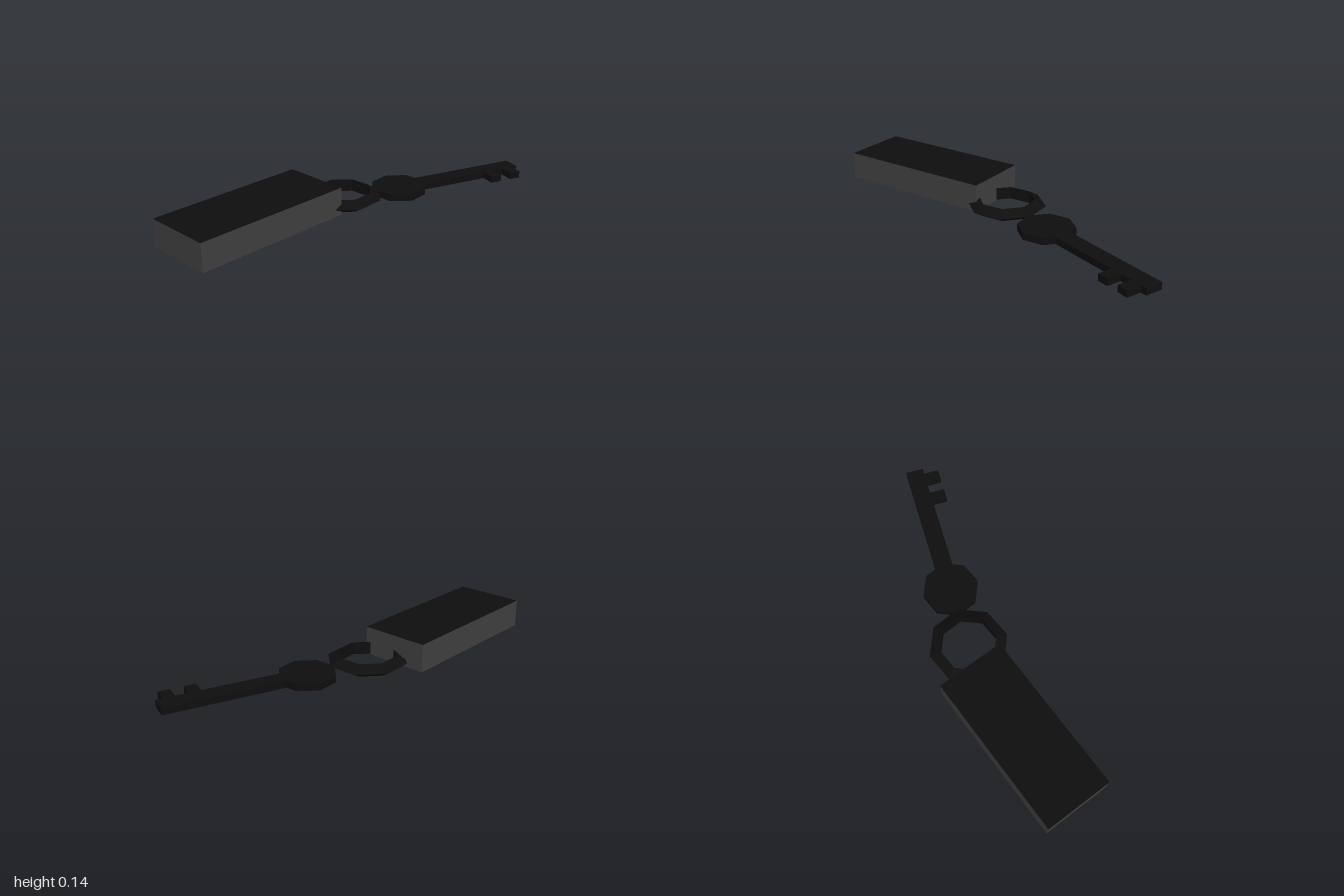
import * as THREE from 'three';

export function createModel() {
  const group = new THREE.Group();
  const black = new THREE.MeshStandardMaterial({ color: 0x0e0e0e, flatShading: true });
  black.name = 'black';
  const grey = new THREE.MeshStandardMaterial({ color: 0x404040, flatShading: true });
  grey.name = 'dark grey';
  const add = (name, geometry, material) => {
    const mesh = new THREE.Mesh(geometry, material);
    mesh.name = name;
    group.add(mesh);
    return mesh;
  };

  // Fob block: grey sides and bottom, black top
  const fob = add('fob', new THREE.BoxGeometry(0.83, 0.142, 0.352),
    [grey, grey, black, grey, grey, grey]);
  fob.position.set(-0.552, 0.071, 0.003);
  fob.rotation.y = THREE.MathUtils.degToRad(20);

  // Split ring: eight sides, triangular section
  const ring = add('ring', new THREE.TorusGeometry(0.162, 0.037, 3, 8), black);
  ring.rotation.x = -Math.PI / 2;
  ring.position.set(-0.031, 0.036, -0.111);

  // Key outline, drawn around its long axis: octagonal bow, shaft and two teeth
  const outline = [];
  const bowX = 0.29, bowR = 0.142, half = 0.045;
  const neckX = bowX + bowR - half * Math.tan(Math.PI / 8);
  outline.push([neckX, half]);
  for (let i = 1; i < 8; i++) {
    const a = i * Math.PI / 4;
    outline.push([bowX + bowR * Math.cos(a), bowR * Math.sin(a)]);
  }
  outline.push([neckX, -half]);
  for (const x of [0.79, 0.91]) {
    outline.push([x, -half], [x, -0.121], [x + 0.058, -0.121], [x + 0.058, -half]);
  }
  outline.push([1, -half], [1, half]);
  const shape = new THREE.Shape(outline.map(([x, y]) => new THREE.Vector2(x, y)));
  const keyGeometry = new THREE.ExtrudeGeometry(shape, { depth: 0.035, bevelEnabled: false });
  keyGeometry.rotateX(-Math.PI / 2);
  add('key', keyGeometry, black).position.z = -0.112;

  return group;
}
